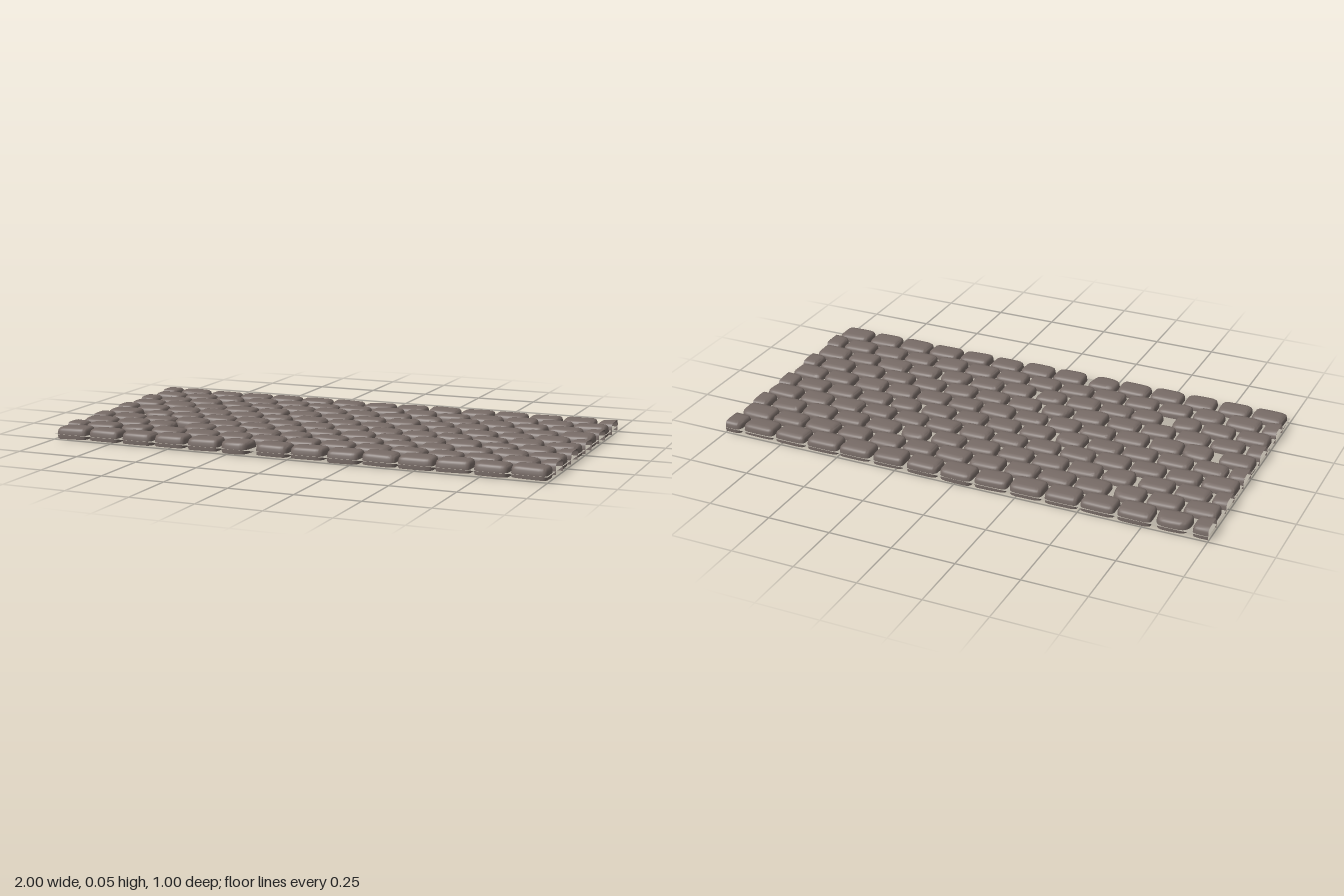
import * as THREE from 'three';
import { toCreasedNormals } from 'three/addons/utils/BufferGeometryUtils.js';

const ROWS = 10, COLS = 14, PITCH_X = 2 / COLS, PITCH_Z = 0.1, SIDES = 24;

// Height and outline scale of each ring, from the open bottom to the worn top
const RINGS = [[0.006, 0.97], [0.022, 1], [0.036, 0.975], [0.044, 0.92], [0.049, 0.8], [0.0505, 0.5]];

// Chipped stones: row, column, shift in x, half width
const CHIPPED = [
  [5, 1, 0.015, 0.058], [7, 2, -0.01, 0.055], [7, 3, 0.012, 0.06], [9, 5, -0.01, 0.058],
  [1, 2, -0.006, 0.06], [2, 9, 0.0, 0.058], [8, 2, 0.004, 0.06], [4, 5, -0.006, 0.06],
  [7, 9, 0.0, 0.062], [0, 1, 0.0, 0.066], [6, 6, 0.0, 0.06], [4, 10, 0.004, 0.06],
  [2, 3, 0.005, 0.06], [7, 6, -0.004, 0.058],
];

function seeded(seed) {
  let s = seed;
  return () => {
    s = (s * 16807) % 2147483647;
    return s / 2147483647;
  };
}

// Hollow rounded stone, cut open where it runs past the end of the panel
function stoneGeometry(cx, cz, halfX, halfZ, chipped, rand) {
  const vary = (amount) => (rand() - 0.5) * 2 * amount;
  const power = chipped ? 0.55 : 0.38;
  const tiltX = vary(0.03), tiltZ = vary(0.04), lift = vary(0.0015);
  const phase = rand() * 6.28, wobble = chipped ? 0.045 : 0.015;
  const skew = vary(chipped ? 0.12 : 0.04);
  const points = [];
  const add = (dx, y, dz) => points.push([
    THREE.MathUtils.clamp(cx + dx, -1, 1),
    Math.max(0, y + lift + dx * tiltX + dz * tiltZ),
    THREE.MathUtils.clamp(cz + dz, cz - PITCH_Z / 2, cz + PITCH_Z / 2),
  ]);
  for (const [y, scale] of RINGS) {
    // Inset the edge by the same amount along both axes
    const inset = (1 - scale) * halfZ;
    for (let j = 0; j < SIDES; j++) {
      const a = (j / SIDES) * Math.PI * 2;
      const c = Math.cos(a), s = Math.sin(a);
      const bump = 1 + wobble * Math.sin(a * 3 + phase);
      const dz = Math.sign(s) * Math.abs(s) ** power * (halfZ - inset) * bump;
      const dx = Math.sign(c) * Math.abs(c) ** power * (halfX - inset) * bump + dz * skew;
      add(dx, y, dz);
    }
  }
  add(0, 0.051, 0);

  const positions = [];
  const triangle = (...ids) => {
    const corners = ids.map((i) => points[i]);
    if (corners.every((p) => Math.abs(p[0]) > 0.9999)) return;
    positions.push(...corners.flat());
  };
  const top = RINGS.length - 1;
  for (let j = 0; j < SIDES; j++) {
    const k = (j + 1) % SIDES;
    for (let r = 0; r < top; r++) {
      const low = r * SIDES, high = low + SIDES;
      triangle(low + j, high + j, low + k);
      triangle(low + k, high + j, high + k);
    }
    triangle(top * SIDES + j, points.length - 1, top * SIDES + k);
  }
  const geometry = new THREE.BufferGeometry();
  geometry.setAttribute('position', new THREE.Float32BufferAttribute(positions, 3));
  return toCreasedNormals(geometry, 0.7);
}

export function createModel() {
  const group = new THREE.Group();
  group.name = 'cobblestonePanel';
  const stone = new THREE.MeshStandardMaterial({ color: 0x786c67, side: THREE.DoubleSide });
  stone.name = 'brown stone';
  const mortar = new THREE.MeshStandardMaterial({ color: 0xb8b1a6, side: THREE.DoubleSide });
  mortar.name = 'pale mortar';

  // Mortar sheet between the stones
  const sheet = new THREE.Mesh(new THREE.PlaneGeometry(2, 1).rotateX(-Math.PI / 2), mortar);
  sheet.name = 'mortar';
  sheet.position.y = 0.022;
  group.add(sheet);

  // Running bond: every other row starts and ends with half a stone
  const rand = seeded(4711);
  for (let row = 0; row < ROWS; row++) {
    const course = new THREE.Group();
    course.name = 'stoneRow' + (row + 1);
    const halved = row % 2 === 0;
    const count = halved ? COLS + 1 : COLS;
    const z = -0.5 + (row + 0.5) * PITCH_Z;
    for (let col = 0; col < count; col++) {
      const chip = CHIPPED.find(([r, c]) => r === row && c === col);
      const x = -1 + (col + (halved ? 0 : 0.5)) * PITCH_X + (chip ? chip[2] : 0);
      const halfX = chip ? chip[3] : 0.064 + rand() * 0.004;
      const halfZ = 0.0455 + rand() * 0.003;
      const mesh = new THREE.Mesh(stoneGeometry(x, z, halfX, halfZ, !!chip, rand), stone);
      mesh.name = 'stone';
      course.add(mesh);
    }
    group.add(course);
  }
  return group;
}
